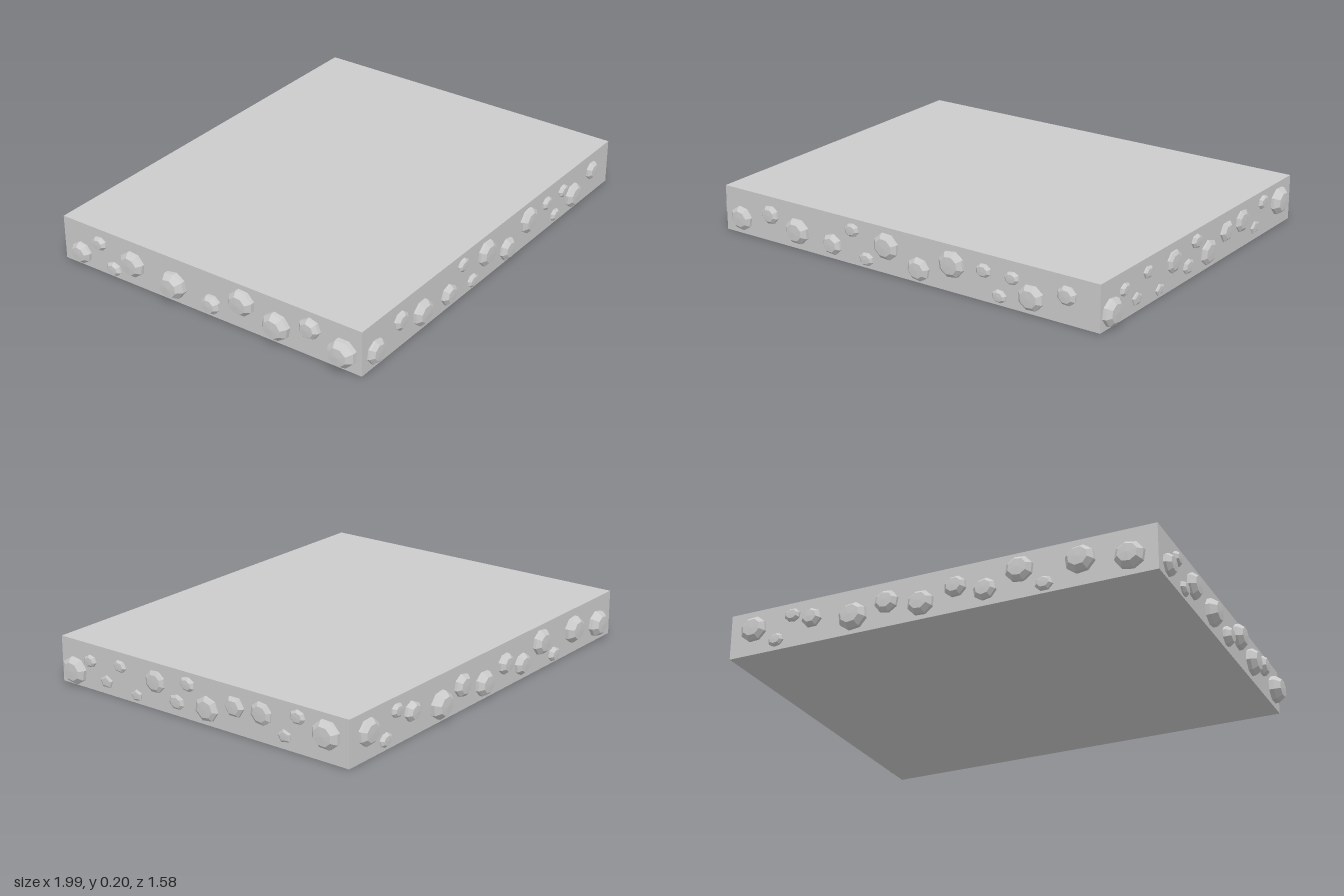
import * as THREE from 'three';

const material = new THREE.MeshStandardMaterial({ color: 0xcccccc, flatShading: true });

// Stones per side: [position along side, height, radius, bulge, number of corners]
const FRONT = [
  [-0.86, 0.07, 0.058, 0.026, 8], [-0.695, 0.12, 0.045, 0.022, 8], [-0.545, 0.08, 0.062, 0.032, 8],
  [-0.355, 0.065, 0.05, 0.026, 7], [-0.25, 0.15, 0.037, 0.016, 8], [-0.175, 0.04, 0.037, 0.016, 8],
  [-0.07, 0.12, 0.063, 0.028, 8], [0.095, 0.06, 0.055, 0.026, 8], [0.26, 0.12, 0.063, 0.028, 8],
  [0.415, 0.13, 0.037, 0.017, 8], [0.49, 0.04, 0.035, 0.016, 8], [0.55, 0.13, 0.035, 0.017, 8],
  [0.64, 0.07, 0.06, 0.028, 8], [0.805, 0.12, 0.045, 0.022, 8],
];
const BACK = [
  [-0.84, 0.08, 0.065, 0.04, 8], [-0.635, 0.11, 0.065, 0.04, 8], [-0.48, 0.04, 0.04, 0.02, 7],
  [-0.375, 0.125, 0.062, 0.032, 8], [-0.225, 0.07, 0.052, 0.028, 8], [-0.095, 0.11, 0.05, 0.03, 8],
  [0.06, 0.07, 0.06, 0.034, 8], [0.217, 0.11, 0.055, 0.028, 8], [0.37, 0.075, 0.066, 0.04, 8],
  [0.565, 0.11, 0.047, 0.03, 7], [0.66, 0.143, 0.038, 0.018, 8], [0.735, 0.045, 0.037, 0.017, 8],
  [0.845, 0.115, 0.062, 0.03, 8],
];
const LEFT = [
  [0.68, 0.065, 0.065, 0.03, 8], [0.59, 0.125, 0.034, 0.013, 7], [0.5, 0.055, 0.036, 0.008, 5],
  [0.42, 0.14, 0.034, 0.012, 6], [0.33, 0.035, 0.032, 0.008, 5], [0.225, 0.12, 0.053, 0.016, 8],
  [0.11, 0.06, 0.041, 0.012, 7], [0.05, 0.15, 0.039, 0.016, 7], [-0.05, 0.07, 0.06, 0.02, 7],
  [-0.195, 0.115, 0.05, 0.02, 6], [-0.33, 0.12, 0.054, 0.018, 8], [-0.445, 0.055, 0.037, 0.01, 5],
  [-0.51, 0.15, 0.039, 0.016, 7], [-0.65, 0.115, 0.067, 0.037, 8],
];
const RIGHT = [
  [-0.66, 0.06, 0.052, 0.035, 8], [-0.56, 0.135, 0.04, 0.024, 8], [-0.485, 0.04, 0.04, 0.022, 7],
  [-0.38, 0.1, 0.062, 0.036, 8], [-0.165, 0.08, 0.066, 0.048, 8], [0.03, 0.06, 0.047, 0.034, 8],
  [0.185, 0.125, 0.062, 0.04, 8], [0.355, 0.08, 0.065, 0.042, 8], [0.515, 0.13, 0.05, 0.03, 7],
  [0.67, 0.08, 0.066, 0.048, 8],
];

// Faceted dome with a flat cap, bulging along +z, its foot sunk into the slab
function stone(radius, bulge, corners) {
  const profile = [[1, -0.012], [0.97, bulge * 0.4], [0.66, bulge * 0.95], [0, bulge]]
    .map(([r, h]) => new THREE.Vector2(r * radius, h));
  const geometry = new THREE.LatheGeometry(profile, corners, Math.PI / corners);
  geometry.rotateX(Math.PI / 2);
  geometry.scale(1, radius < 0.045 ? 0.8 : 0.92, 1);
  const mesh = new THREE.Mesh(geometry, material);
  mesh.name = 'stone';
  return mesh;
}

// A row of stones; place(along) gives the point on the slab's side
function stoneRow(name, list, turn, place) {
  const row = new THREE.Group();
  row.name = name;
  list.forEach(([along, y, radius, bulge, corners], i) => {
    const mesh = stone(radius, bulge, corners);
    const [x, z] = place(along);
    mesh.position.set(x, y, z);
    mesh.rotation.set(0, turn, ((i * 5) % 7 - 3) * 0.06, 'YXZ');
    row.add(mesh);
  });
  return row;
}

export function createModel() {
  const model = new THREE.Group();
  model.name = 'stoneSlab';

  // Flat slab, a touch narrower at the front
  const geometry = new THREE.BoxGeometry(1.91, 0.2, 1.51);
  geometry.translate(0.002, 0.1, 0);
  const p = geometry.attributes.position;
  for (let i = 0; i < p.count; i++) p.setX(i, p.getX(i) * (p.getZ(i) > 0 ? 0.996 : 1.002));
  geometry.computeVertexNormals();
  const slab = new THREE.Mesh(geometry, material);
  slab.name = 'slab';
  model.add(slab);

  // Stones set into the four sides
  model.add(
    stoneRow('frontStones', FRONT, 0, (a) => [a, 0.755]),
    stoneRow('backStones', BACK, Math.PI, (a) => [a, -0.755]),
    stoneRow('leftStones', LEFT, Math.PI / 2, (a) => [0.956, a]),
    stoneRow('rightStones', RIGHT, -Math.PI / 2, (a) => [-0.952, a]),
  );
  return model;
}
